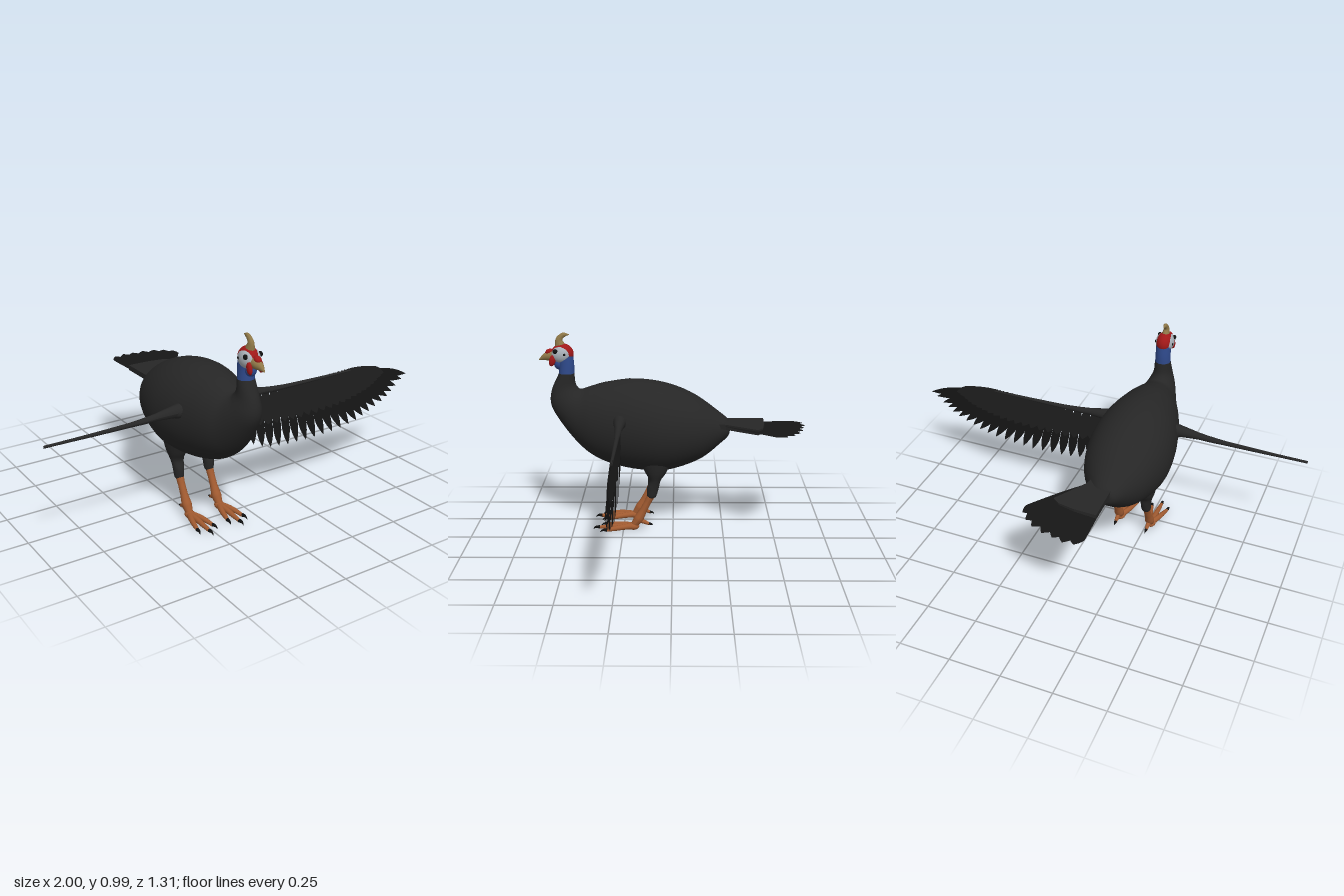
import * as THREE from 'three';

const V = (x, y, z) => new THREE.Vector3(x, y, z);
const mat = (color, side = THREE.FrontSide) => new THREE.MeshStandardMaterial({ color, side });
const black = mat(0x262626), red = mat(0xa01818), blue = mat(0x2f4a8c), tan = mat(0x8f7848),
  pale = mat(0xa9b0b8), orange = mat(0xa05a30), dark = mat(0x101010),
  quill = mat(0x161616, THREE.DoubleSide), covert = mat(0x1f1f1f, THREE.DoubleSide);

function add(parent, name, geometry, material) {
  const m = new THREE.Mesh(geometry, material);
  m.name = name;
  parent.add(m);
  return m;
}

// Smooth skin over oval sections [topZ, topY, bottomZ, bottomY, halfWidth]
function loft(sections, steps = 60, n = 40) {
  const top = new THREE.CatmullRomCurve3(sections.map(s => V(0, s[1], s[0])), false, 'catmullrom');
  const low = new THREE.CatmullRomCurve3(sections.map(s => V(s[4], s[3], s[2])), false, 'catmullrom');
  const pos = [], idx = [];
  for (let i = 0; i <= steps; i++) {
    const t = top.getPoint(i / steps), b = low.getPoint(i / steps);
    for (let j = 0; j < n; j++) {
      const a = j / n * Math.PI * 2, c = Math.cos(a) / 2;
      pos.push(b.x * Math.sin(a), (t.y + b.y) / 2 + (t.y - b.y) * c, (t.z + b.z) / 2 + (t.z - b.z) * c);
      if (i < steps) {
        const p = i * n + j, q = i * n + (j + 1) % n;
        idx.push(p, p + n, q, q, p + n, q + n);
      }
    }
  }
  const g = new THREE.BufferGeometry();
  g.setAttribute('position', new THREE.Float32BufferAttribute(pos, 3));
  g.setIndex(idx);
  g.computeVertexNormals();
  return g;
}

// Round tube whose radius follows a list of values
function limb(points, radii, steps = 24, n = 14) {
  const path = new THREE.CatmullRomCurve3(points.map(p => V(...p)));
  const g = new THREE.TubeGeometry(path, steps, 1, n);
  const pos = g.attributes.position, v = V(0, 0, 0);
  for (let i = 0; i < pos.count; i++) {
    const t = Math.floor(i / (n + 1)) / steps, c = path.getPointAt(t);
    const f = t * (radii.length - 1), k = Math.min(Math.floor(f), radii.length - 2);
    v.fromBufferAttribute(pos, i).sub(c).multiplyScalar(THREE.MathUtils.lerp(radii[k], radii[k + 1], f - k)).add(c);
    pos.setXYZ(i, v.x, v.y, v.z);
  }
  g.computeVertexNormals();
  return g;
}

function blob(parent, name, material, [x, y, z], [rx, ry, rz], tilt = 0) {
  const m = add(parent, name, new THREE.SphereGeometry(1, 24, 16), material);
  m.position.set(x, y, z);
  m.scale.set(rx, ry, rz);
  m.rotation.x = tilt;
  return m;
}

// Flat feather in the xy plane from root to tip, widest at the fraction "wide"
function feather(root, tip, width, wide) {
  const d = new THREE.Vector2().subVectors(tip, root), L = d.length(), w = width / 2;
  const s = new THREE.Shape();
  s.moveTo(-w * 0.5, 0);
  s.quadraticCurveTo(-w, L * 0.3, -w, L * wide);
  s.quadraticCurveTo(-w * 0.9, L * (wide + 1) / 2, 0, L);
  s.quadraticCurveTo(w * 0.9, L * (wide + 1) / 2, w, L * wide);
  s.quadraticCurveTo(w, L * 0.3, w * 0.5, 0);
  const g = new THREE.ShapeGeometry(s, 6);
  g.rotateZ(Math.atan2(d.y, d.x) - Math.PI / 2);
  return g.translate(root.x, root.y, 0);
}

function makeHead() {
  const g = new THREE.Group();
  g.name = 'head';
  add(g, 'blueNeck', loft([[.485, .785, .56, .785, .038], [.484, .83, .56, .83, .037],
    [.488, .88, .565, .88, .037]], 12, 28), blue);
  blob(g, 'throat', blue, [0, .838, .557], [.026, .03, .026]);
  blob(g, 'crown', red, [0, .887, .54], [.041, .05, .055]);
  add(g, 'beak', loft([[.585, .905, .585, .852, .026], [.61, .897, .61, .853, .021],
    [.635, .884, .633, .855, .012], [.656, .858, .656, .855, .001]], 16, 20), tan);
  blob(g, 'cere', red, [0, .897, .605], [.016, .013, .02], .4);
  add(g, 'casque', limb([[0, .925, .55], [0, .955, .555], [0, .978, .535], [0, .981, .505]],
    [.026, .019, .014, .011, .001]), tan).scale.x = .75;
  for (const s of [-1, 1]) {
    blob(g, 'facePatch', pale, [s * .016, .886, .545], [.029, .041, .047]);
    blob(g, 'eye', dark, [s * .038, .904, .571], [.009, .012, .012]);
    blob(g, 'ear', dark, [s * .044, .889, .527], [.003, .006, .006]);
    blob(g, 'wattle', red, [s * .028, .858, .587], [.011, .029, .016], -.25);
  }
  return g;
}

function makeLeg(side) {
  const g = new THREE.Group();
  g.name = side > 0 ? 'leftLeg' : 'rightLeg';
  add(g, 'thigh', loft([[.17, .38, .0, .38, .06], [.14, .31, .03, .31, .047], [.118, .265, .06, .265, .033],
    [.13, .22, .07, .225, .026], [.128, .175, .085, .178, .021], [.11, .172, .105, .172, .001]], 30, 24), black);
  add(g, 'shank', limb([[0, .19, .106], [0, .12, .14], [0, .06, .172], [0, .02, .2]],
    [.02, .017, .018, .024, .016]), orange);
  blob(g, 'footPad', orange, [0, .019, .2], [.024, .019, .03]);
  for (const k of [-1, 0, 1]) {
    const x = k * .042, z = k ? .335 : .372;
    add(g, 'toe', limb([[0, .02, .195], [x * .6, .02, .26], [x, .012, z]], [.017, .014, .012, .008]), orange);
    add(g, 'claw', limb([[x, .013, z - .004], [x * 1.06, .014, z + .016], [x * 1.1, .004, z + .03]],
      [.009, .006, .001], 8, 10), dark);
  }
  add(g, 'hindToe', limb([[0, .055, .175], [0, .042, .145], [0, .03, .118]], [.012, .011, .007]), orange);
  add(g, 'hindClaw', limb([[0, .032, .122], [0, .03, .11], [0, .024, .1]], [.008, .005, .001], 8, 10), dark);
  g.position.x = side * .083;
  return g;
}

function makeArm(side) {
  const g = new THREE.Group();
  g.name = side > 0 ? 'leftArm' : 'rightArm';
  blob(g, 'shoulder', black, [side * .175, .583, .255], [.035, .031, .031]);
  add(g, 'armBone', limb([[.15, .588, .255], [.25, .583, .255], [.36, .576, .255], [.55, .573, .255], [.81, .573, .255]]
    .map(([x, y, z]) => [x * side, y, z]), [.034, .017, .011, .009, .007, .006], 40), black);
  return g;
}

// Left wing feathers hang from the arm and fan out past the wrist
function makeWing() {
  const g = new THREE.Group();
  g.name = 'leftWingFeathers';
  const tips = new THREE.SplineCurve([[.01, .34], [.11, .29], [.22, .27], [.34, .265], [.46, .265], [.58, .275],
    [.69, .295], [.78, .33], [.87, .37], [.93, .42], [1, .478]].map(p => new THREE.Vector2(...p)));
  const roots = new THREE.SplineCurve([[0, .57], [.22, .572], [.42, .572], [.57, .572], [.63, .568]]
    .map(p => new THREE.Vector2(...p)));
  const n = 23;
  for (let i = 0; i < n; i++) {
    const t = i / (n - 1), root = roots.getPoint(t), tip = tips.getPoint(t);
    const z = .254 + (i % 2) * .0012;
    add(g, 'flightFeather', feather(root, tip, .046, .68), quill).position.set(.19, 0, z);
    const mid = root.clone().lerp(tip, .58);
    for (const s of [-1, 1])
      add(g, 'covertFeather', feather(root, mid, .06, .7), covert).position.set(.19, 0, .2546 + s * (.003 + (i % 2) * .001));
  }
  return g;
}

function makeTail() {
  const g = new THREE.Group();
  g.name = 'tail';
  // Tail is drawn in x and -z, then laid flat
  const tips = [[-.2, .645], [-.15, .652], [-.1, .642], [-.045, .632], [.01, .612], [.052, .582], [.085, .543]];
  tips.forEach(([x, d], i) => {
    const root = new THREE.Vector2(-.19 + i * .011, .25);
    const m = add(g, 'tailFeather', feather(root, new THREE.Vector2(x, d), .07, .88), quill);
    m.rotation.x = -Math.PI / 2;
    m.position.set(.19, .535 + i * .0016, 0);
  });
  const s = new THREE.Shape([[-.222, .22], [-.11, .22], [-.098, .26], [-.005, .41], [-.04, .435], [-.12, .448], [-.225, .45]]
    .map(p => new THREE.Vector2(...p)));
  const base = add(g, 'tailCoverts', new THREE.ExtrudeGeometry(s, { depth: .026, bevelEnabled: false }), black);
  base.rotation.x = -Math.PI / 2;
  base.position.set(.19, .527, 0);
  return g;
}

export function createModel() {
  const bird = new THREE.Group();
  bird.name = 'bird';
  // Body and dark neck in one skin
  add(bird, 'body', loft([[-.28, .517, -.28, .513, .002], [-.278, .55, -.278, .48, .045], [-.23, .593, -.24, .44, .085],
    [-.1, .685, -.13, .355, .16], [.04, .74, .035, .3, .2], [.19, .76, .17, .303, .195], [.325, .745, .3, .33, .165],
    [.4, .725, .4, .375, .135], [.44, .712, .48, .445, .105], [.458, .71, .56, .55, .08], [.468, .717, .602, .63, .062],
    [.48, .74, .598, .705, .046], [.485, .79, .56, .79, .039]], 96, 48), black);
  bird.add(makeHead(), makeTail(), makeWing());
  for (const s of [-1, 1]) bird.add(makeArm(s), makeLeg(s));
  bird.position.x = -.19;
  const model = new THREE.Group();
  model.add(bird);
  return model;
}
